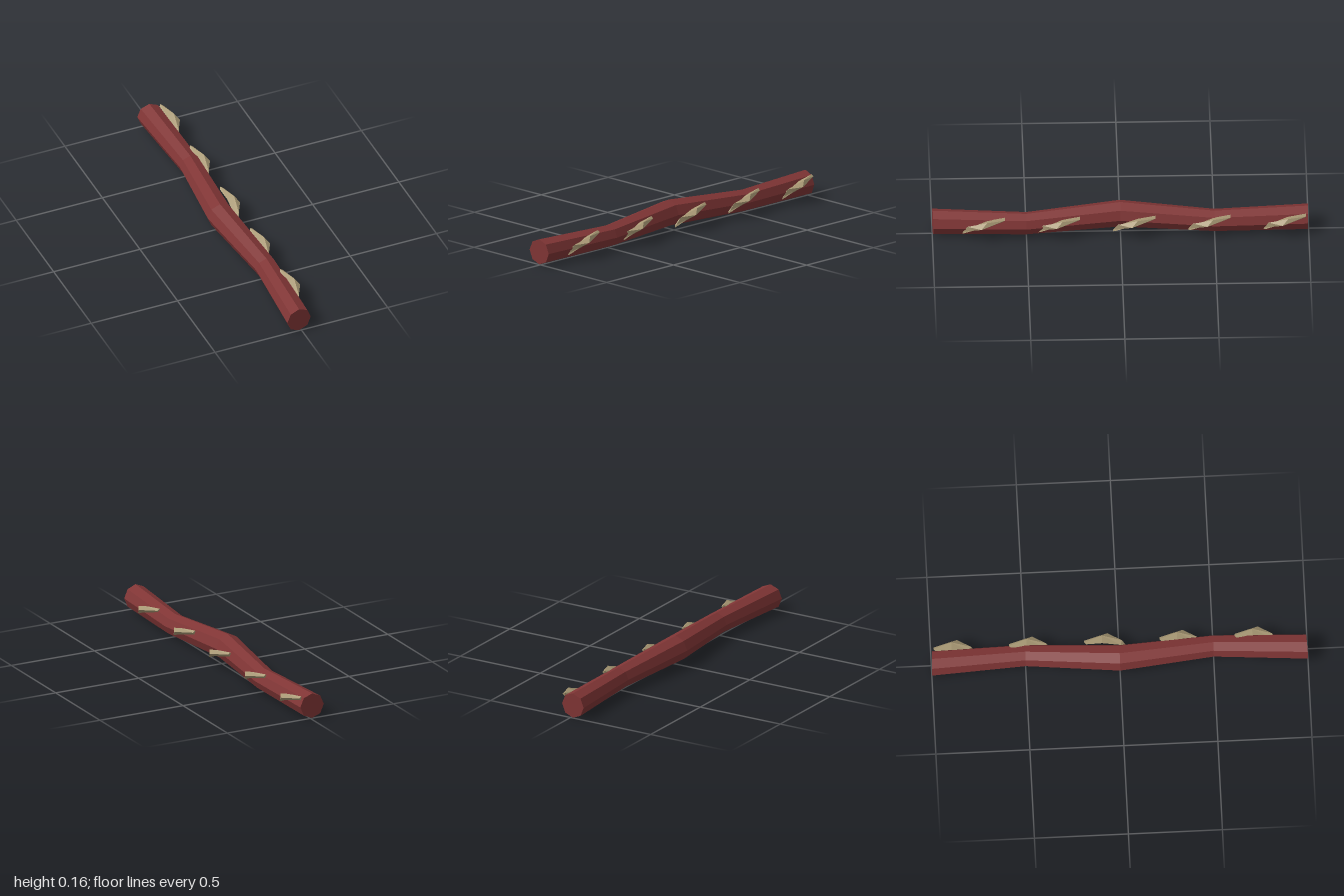
import * as THREE from 'three';

// Skin a list of closed rings (counter-clockwise seen from +z, running -z to +z)
function loft(rings) {
  const n = rings[0].length, pos = [], index = [];
  rings.forEach(r => r.forEach(p => pos.push(...p)));
  for (let i = 0; i < rings.length - 1; i++) {
    for (let k = 0; k < n; k++) {
      const a = i * n + k, b = i * n + (k + 1) % n;
      index.push(a, b, b + n, a, b + n, a + n);
    }
  }
  // end caps
  const last = (rings.length - 1) * n;
  for (let k = 1; k < n - 1; k++) {
    index.push(0, k + 1, k, last, last + k, last + k + 1);
  }
  const g = new THREE.BufferGeometry();
  g.setAttribute('position', new THREE.Float32BufferAttribute(pos, 3));
  g.setIndex(index);
  const flat = g.toNonIndexed();
  flat.computeVertexNormals();
  return flat;
}

export function createModel() {
  const wood = new THREE.MeshStandardMaterial({ color: 0x803535, flatShading: true });
  wood.name = 'dark red wood';
  const bone = new THREE.MeshStandardMaterial({ color: 0xaa9a75, flatShading: true });
  bone.name = 'tan thorn';
  const model = new THREE.Group();
  model.name = 'thornedStaff';

  // crooked eight-sided shaft: centre x, centre y, z, radius, slant of the ring
  const stations = [
    [-0.012, 0.072, -0.997, 0.069, 0.04],
    [0.009, 0.071, -0.5, 0.06, 0],
    [-0.036, 0.092, 0, 0.072, 0],
    [0.015, 0.071, 0.5, 0.06, 0],
    [-0.012, 0.072, 0.997, 0.069, -0.04],
  ];
  const rings = stations.map(([x, y, z, r, slant]) =>
    Array.from({ length: 8 }, (_, k) => {
      const a = k * Math.PI / 4, dx = r * Math.cos(a);
      return [x + dx, y + r * Math.sin(a), z + dx * slant];
    }));
  const shaft = new THREE.Mesh(loft(rings), wood);
  shaft.name = 'shaft';
  model.add(shaft);

  // bent thorn: each section is top, inner, bottom, outer
  const thornGeometry = loft([
    [[0.046, 0.13, -0.125], [0.038, 0.122, -0.115], [0.048, 0.107, -0.12], [0.06, 0.12, -0.125]],
    [[0.084, 0.122, -0.03], [0.045, 0.11, -0.03], [0.072, 0.072, 0.01], [0.106, 0.094, 0]],
    [[0.066, 0.088, 0.075], [0.045, 0.07, 0.07], [0.06, 0.056, 0.05], [0.08, 0.072, 0.045]],
    [[0.056, 0.05, 0.095], [0.046, 0.044, 0.1], [0.05, 0.035, 0.1], [0.062, 0.044, 0.09]],
  ]);
  for (let i = 0; i < 5; i++) {
    const thorn = new THREE.Mesh(thornGeometry, bone);
    thorn.name = 'thorn' + (i + 1);
    thorn.position.z = -0.86 + i * 0.4;
    model.add(thorn);
  }
  return model;
}
